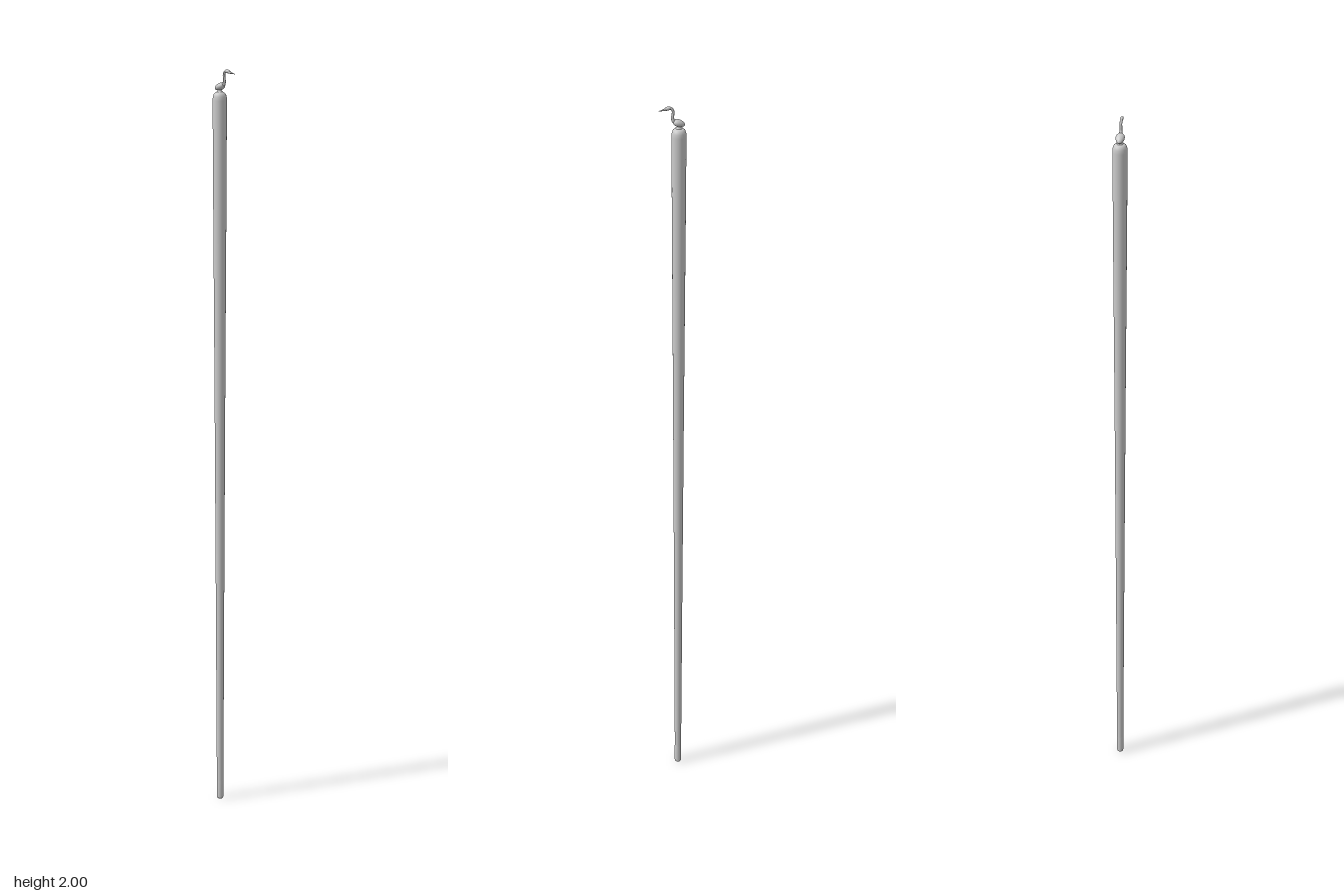
import * as THREE from 'three';

export function createModel() {
  const group = new THREE.Group();
  const material = new THREE.MeshStandardMaterial({ color: 0xcccccc });
  const axisX = -0.018; // the shaft stands slightly off centre to balance the beak

  function add(name, geometry, x = 0, y = 0, z = 0) {
    const mesh = new THREE.Mesh(geometry, material);
    mesh.name = name;
    mesh.position.set(x, y, z);
    group.add(mesh);
    return mesh;
  }
  const lathe = (points) =>
    new THREE.LatheGeometry(points.map(([r, y]) => new THREE.Vector2(r, y)), 32);

  // Round tapered shaft with a domed top
  add('shaft', lathe([
    [0.009, 0.05], [0.0115, 0.6], [0.0145, 1.2], [0.0175, 1.7], [0.0185, 1.92],
    [0.0178, 1.93], [0.0155, 1.937], [0.011, 1.941], [0, 1.943],
  ]), axisX);

  // Rounded foot
  add('footTip', lathe([
    [0, 0], [0.006, 0.0005], [0.0085, 0.003], [0.0093, 0.007], [0.0093, 0.055], [0.008, 0.056],
  ]), axisX);

  // Small pedestal under the bird
  add('pedestal', lathe([
    [0.009, 1.939], [0.008, 1.942], [0.005, 1.945], [0.005, 1.95],
  ]), axisX);

  // Egg-shaped body tilted up towards the neck, drawn to a tail
  const bodyShape = new THREE.SphereGeometry(1, 28, 18);
  const p = bodyShape.attributes.position;
  for (let i = 0; i < p.count; i++) {
    const taper = 1 + 0.18 * p.getX(i);
    p.setXYZ(i, p.getX(i) * 0.016, p.getY(i) * 0.009 * taper, p.getZ(i) * 0.011 * taper);
  }
  bodyShape.computeVertexNormals();
  add('body', bodyShape, axisX, 1.955).rotation.z = 0.35;

  // Tapering neck: rings swept along a curve
  const path = new THREE.CatmullRomCurve3([
    [-0.012, 1.956], [-0.005, 1.961], [-0.002, 1.969], [-0.003, 1.979],
    [-0.003, 1.988], [0.001, 1.994], [0.008, 1.996],
  ].map(([x, y]) => new THREE.Vector3(x, y, 0)));
  const steps = 40, sides = 14;
  const neckShape = new THREE.TubeGeometry(path, steps, 1, sides);
  const n = neckShape.attributes.position;
  for (let i = 0; i < n.count; i++) {
    const t = Math.floor(i / (sides + 1)) / steps;
    const c = path.getPointAt(t);
    const r = 0.0032 + 0.003 * Math.pow(1 - t, 4);
    n.setXYZ(i, c.x + (n.getX(i) - c.x) * r, c.y + (n.getY(i) - c.y) * r, n.getZ(i) * r);
  }
  neckShape.computeVertexNormals();
  add('neck', neckShape);

  // Head
  const head = add('head', new THREE.SphereGeometry(1, 20, 14), 0.009, 1.9952);
  head.scale.set(0.009, 0.0047, 0.0045);
  head.rotation.z = -0.12;

  // Slender beak, pointing forward and slightly down
  const beak = add('beak', new THREE.ConeGeometry(0.0036, 0.023, 16), 0.0242, 1.991);
  beak.rotation.z = -Math.PI / 2 - 0.2;

  return group;
}
